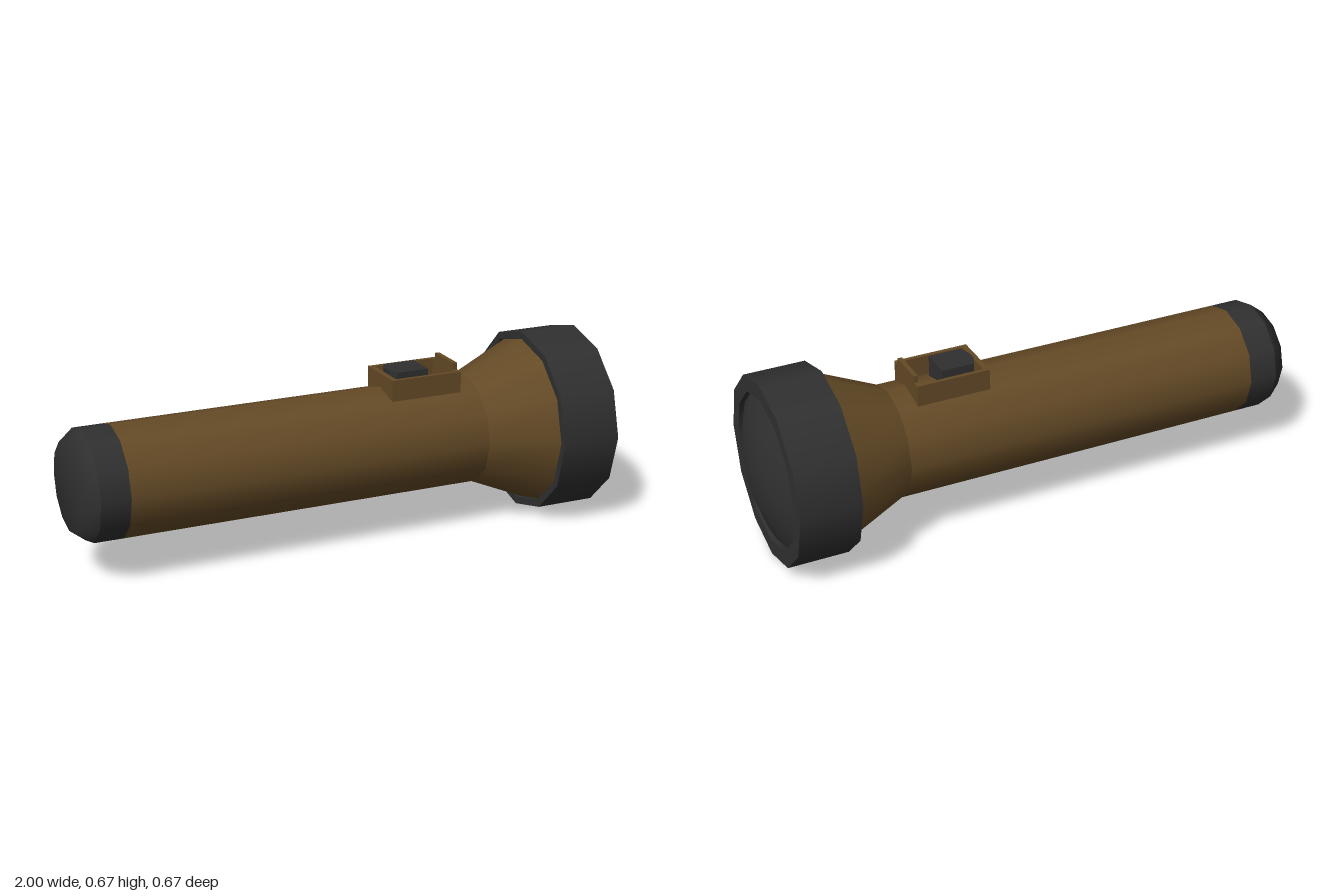
import * as THREE from 'three';
import { mergeGeometries } from 'three/addons/utils/BufferGeometryUtils.js';

const AXIS_Y = 0.335, SIDES = 12;

// Turned part along x: each profile run [[x, r], ...] is smooth, with sharp edges between runs
function turned(name, material, ...runs) {
  const parts = runs.map(run => new THREE.LatheGeometry(
    run.map(([x, r]) => new THREE.Vector2(r, x)), SIDES));
  const geometry = mergeGeometries(parts);
  geometry.rotateZ(-Math.PI / 2).translate(0, AXIS_Y, 0);
  const mesh = new THREE.Mesh(geometry, material);
  mesh.name = name;
  return mesh;
}

// Box from its minimum and maximum corners
function block(name, material, [x0, y0, z0], [x1, y1, z1]) {
  const mesh = new THREE.Mesh(new THREE.BoxGeometry(x1 - x0, y1 - y0, z1 - z0), material);
  mesh.position.set((x0 + x1) / 2, (y0 + y1) / 2, (z0 + z1) / 2);
  mesh.name = name;
  return mesh;
}

export function createModel() {
  const brown = new THREE.MeshStandardMaterial({ color: 0x644a26 });
  brown.name = 'brown casing';
  const black = new THREE.MeshStandardMaterial({ color: 0x303030 });
  black.name = 'black rubber';

  const model = new THREE.Group();
  model.name = 'flashlight';

  // Barrel and flared neck
  model.add(turned('barrel', brown, [[-0.84, 0.2], [0.5, 0.2]]));
  model.add(turned('neck', brown, [[0.5, 0.2], [0.76, 0.313]]));

  // Tail cap with bevelled end
  model.add(turned('tailCap', black,
    [[-1, 0], [-1, 0.157], [-0.945, 0.2]],
    [[-0.945, 0.2], [-0.84, 0.2]]));

  // Head ring, open at the back around the neck and recessed at the front
  model.add(turned('headRing', black,
    [[0.76, 0.308], [0.73, 0.308]],
    [[0.73, 0.308], [0.73, 0.335]],
    [[0.73, 0.335], [0.95, 0.335]],
    [[0.95, 0.335], [0.95, 0.278]],
    [[0.95, 0.278], [0.925, 0.278]]));

  // Domed lens
  const dome = [];
  for (let i = 0; i <= 6; i++) {
    const r = 0.278 * (1 - i / 6);
    dome.push([1 - 0.9 * r * r, r]);
  }
  model.add(turned('lens', black, dome));

  // Switch housing: four walls around an open well
  const housing = new THREE.Group();
  housing.name = 'switchHousing';
  const low = 0.508, high = 0.585;
  for (const s of [-1, 1]) {
    const z = [s * 0.085, s * 0.1].sort((a, b) => a - b);
    housing.add(block('sideWall', brown, [0.16, low, z[0]], [0.43, high, z[1]]));
  }
  housing.add(block('rearWall', brown, [0.16, low, -0.085], [0.18, high, 0.085]));
  housing.add(block('frontWall', brown, [0.412, low, -0.085], [0.43, high, 0.085]));
  housing.add(block('frontLip', brown, [0.414, high, -0.07], [0.43, 0.61, 0.07]));
  model.add(housing);

  // Sliding switch button with a blunt pointed end
  const outline = new THREE.Shape([
    [0.32, -0.057], [0.32, 0.057], [0.2, 0.057], [0.185, 0.02], [0.185, -0.02], [0.2, -0.057],
  ].map(([x, z]) => new THREE.Vector2(x, z)));
  const buttonGeometry = new THREE.ExtrudeGeometry(outline, { depth: 0.078, bevelEnabled: false });
  buttonGeometry.rotateX(-Math.PI / 2).translate(0, 0.52, 0);
  const button = new THREE.Mesh(buttonGeometry, black);
  button.name = 'switchButton';
  model.add(button);

  return model;
}
